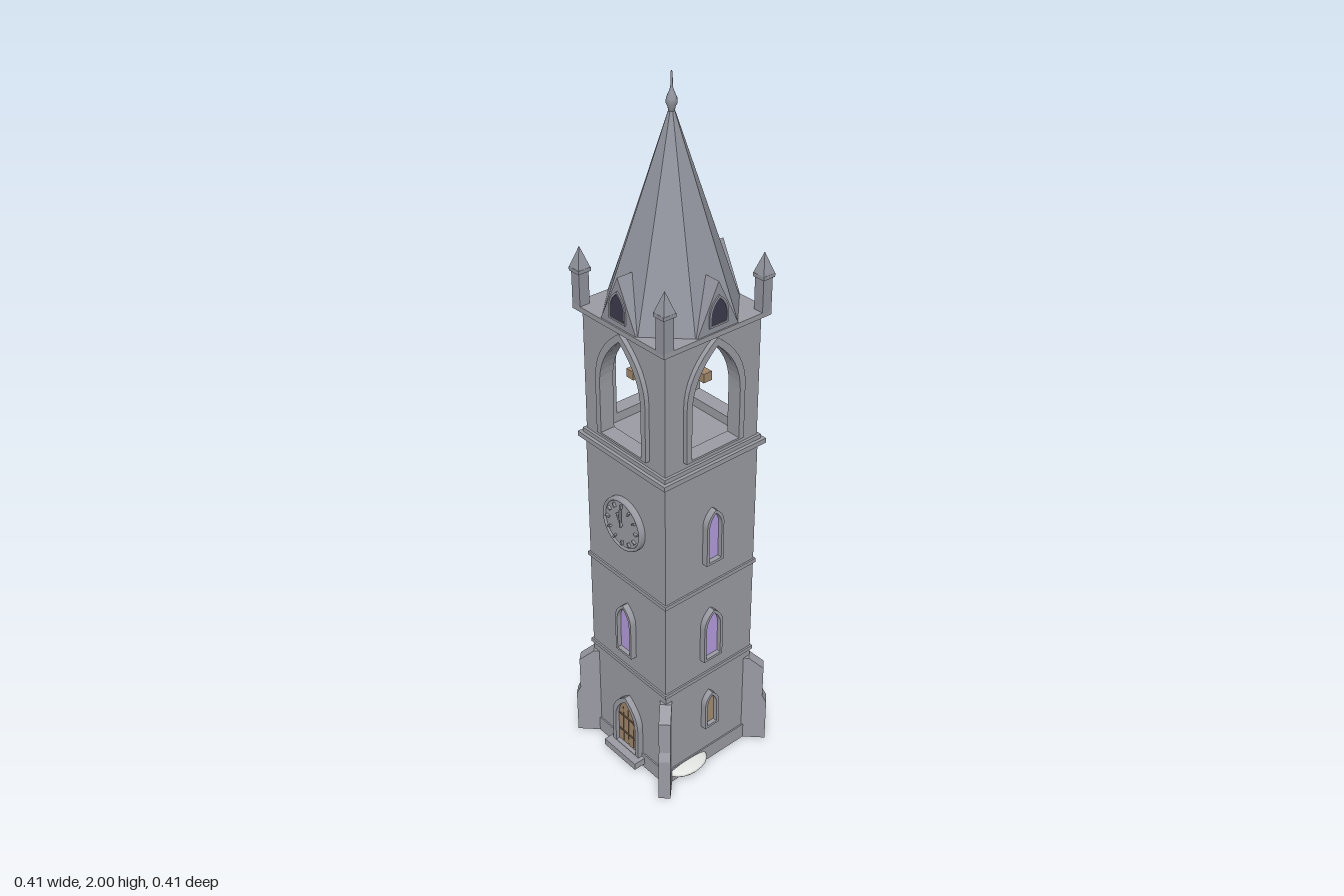
import * as THREE from 'three';

const mat = (name, color) => {
  const m = new THREE.MeshStandardMaterial({ color });
  m.name = name;
  return m;
};

export function createModel() {
  const stone = mat('stone', 0x9a9ba3);
  const slate = mat('slate', 0x92949e);
  const metal = mat('bell metal', 0x84868e);
  const wood = mat('wood', 0xa0866a);
  const darkWood = mat('dark wood', 0x7c6650);
  const violetGlass = mat('violet glass', 0xb39bdc);
  const amberGlass = mat('amber glass', 0xa48c70);
  const shadow = mat('dark opening', 0x3c3a4c);
  const snow = mat('pale mound', 0xe2e4e2);

  const model = new THREE.Group();
  model.name = 'bellTower';

  const add = (parent, name, geo, material, x = 0, y = 0, z = 0) => {
    const mesh = new THREE.Mesh(geo, material);
    mesh.name = name;
    mesh.position.set(x, y, z);
    parent.add(mesh);
    return mesh;
  };
  const box = (parent, name, w, y0, y1, d, material, x = 0, z = 0) =>
    add(parent, name, new THREE.BoxGeometry(w, y1 - y0, d), material, x, (y0 + y1) / 2, z);
  // Faceted cone or prism with flat normals
  const facet = (rTop, rBottom, h, sides) => {
    const g = new THREE.CylinderGeometry(rTop, rBottom, h, sides, 1, false, Math.PI / sides).toNonIndexed();
    g.computeVertexNormals();
    return g;
  };
  // Pointed arch outline
  const arch = (Type, w, y0, y1, rise) => {
    const p = new Type();
    const ys = y1 - rise;
    p.moveTo(-w, y0);
    p.lineTo(w, y0);
    p.lineTo(w, ys);
    p.quadraticCurveTo(w, ys + rise * 0.58, 0, y1);
    p.quadraticCurveTo(-w, ys + rise * 0.58, -w, ys);
    p.lineTo(-w, y0);
    return p;
  };
  const extrude = (shape, depth) =>
    new THREE.ExtrudeGeometry(shape, { depth, bevelEnabled: false, curveSegments: 8 });
  const archFrame = (w, y0, y1, rise, t, sill, depth) => {
    const s = arch(THREE.Shape, w, y0, y1, rise);
    s.holes.push(arch(THREE.Path, w - t, y0 + sill, y1 - t * 1.3, rise - t * 0.6));
    return extrude(s, depth);
  };

  const H = 0.157; // half width of the shaft

  // Shaft and horizontal courses
  box(model, 'shaft', 2 * H, 0, 1.03, 2 * H, stone);
  box(model, 'plinth', 0.322, 0, 0.05, 0.322, stone);
  [0.335, 0.645].forEach((y) => box(model, 'stringCourse', 0.324, y - 0.006, y + 0.006, 0.324, stone));
  box(model, 'belfryCornice', 0.344, 1.026, 1.04, 0.344, stone);
  box(model, 'belfryFloor', 0.325, 1.04, 1.052, 0.325, stone);
  box(model, 'roofSlab', 0.344, 1.398, 1.412, 0.344, stone);

  // One wall side, turned about the tower axis
  const side = (name, angle) => {
    const g = new THREE.Group();
    g.name = name;
    g.rotation.y = angle;
    model.add(g);
    return g;
  };
  const sides = {
    front: side('frontSide', 0),
    left: side('leftSide', Math.PI / 2),
    back: side('backSide', Math.PI),
    right: side('rightSide', -Math.PI / 2),
  };

  const addWindow = (parent, w, y0, y1, glass) => {
    add(parent, 'windowGlass', extrude(arch(THREE.Shape, w - 0.004, y0 + 0.004, y1 - 0.006, w * 1.6), 0.005), glass, 0, 0, H);
    add(parent, 'windowFrame', archFrame(w, y0, y1, w * 1.7, 0.008, 0.008, 0.018), stone, 0, 0, H);
  };
  const addClock = (parent) => {
    const clock = new THREE.Group();
    clock.name = 'clock';
    clock.position.set(0, 0.833, H);
    parent.add(clock);
    const dial = add(clock, 'clockDial', new THREE.CylinderGeometry(0.078, 0.078, 0.012, 40), stone, 0, 0, 0.006);
    dial.rotation.x = Math.PI / 2;
    add(clock, 'clockRim', new THREE.TorusGeometry(0.073, 0.005, 6, 40), stone, 0, 0, 0.012);
    for (let i = 0; i < 12; i++) {
      const a = (i * Math.PI) / 6;
      const mark = add(clock, 'hourMark', new THREE.BoxGeometry(0.005, 0.012, 0.008), stone,
        0.057 * Math.sin(a), 0.057 * Math.cos(a), 0.015);
      mark.rotation.z = -a;
    }
    add(clock, 'minuteHand', new THREE.BoxGeometry(0.005, 0.055, 0.005), stone, 0, 0.022, 0.019);
    const hour = add(clock, 'hourHand', new THREE.BoxGeometry(0.006, 0.038, 0.005), stone, -0.008, 0.014, 0.016);
    hour.rotation.z = 0.5;
  };

  addClock(sides.front);
  addClock(sides.back);
  addWindow(sides.front, 0.033, 0.395, 0.565, violetGlass);
  addWindow(sides.back, 0.033, 0.395, 0.565, amberGlass);
  addWindow(sides.back, 0.025, 0.142, 0.268, amberGlass);
  [sides.left, sides.right].forEach((s) => {
    addWindow(s, 0.029, 0.725, 0.895, violetGlass);
    addWindow(s, 0.033, 0.395, 0.565, violetGlass);
    addWindow(s, 0.025, 0.142, 0.268, amberGlass);
  });

  // Door with planks, portal and step
  add(sides.front, 'door', extrude(arch(THREE.Shape, 0.044, 0.04, 0.212, 0.075), 0.006), wood, 0, 0, H);
  [-0.022, 0, 0.022].forEach((x) => box(sides.front, 'plankGap', 0.002, 0.045, 0.175, 0.002, darkWood, x, H + 0.0065));
  [0.08, 0.14].forEach((y) => box(sides.front, 'doorStrap', 0.08, y, y + 0.005, 0.003, darkWood, 0, H + 0.007));
  add(sides.front, 'doorPortal', archFrame(0.056, 0.035, 0.23, 0.09, 0.013, 0.004, 0.018), stone, 0, 0, H);
  box(sides.front, 'doorStep', 0.136, 0.015, 0.037, 0.044, stone, 0, 0.176);

  // Belfry walls with pointed openings, and roof dormers
  Object.values(sides).forEach((s, i) => {
    const half = i % 2 ? 0.125 : 0.155;
    const wall = new THREE.Shape();
    wall.moveTo(-half, 1.045);
    wall.lineTo(half, 1.045);
    wall.lineTo(half, 1.4);
    wall.lineTo(-half, 1.4);
    wall.closePath();
    wall.holes.push(arch(THREE.Path, 0.079, 1.078, 1.372, 0.15));
    add(s, 'belfryWall', extrude(wall, 0.03), stone, 0, 0, 0.125);
    add(s, 'belfryArch', archFrame(0.096, 1.072, 1.394, 0.165, 0.017, 0.006, 0.013), stone, 0, 0, 0.155);

    const gable = new THREE.Shape();
    gable.moveTo(-0.066, 1.411);
    gable.lineTo(0.066, 1.411);
    gable.lineTo(0, 1.543);
    gable.closePath();
    add(s, 'dormer', extrude(gable, 0.063), slate, 0, 0, 0.105);
    add(s, 'dormerOpening', extrude(arch(THREE.Shape, 0.027, 1.432, 1.5, 0.045), 0.003), shadow, 0, 0, 0.167);
    add(s, 'dormerFrame', archFrame(0.03, 1.428, 1.508, 0.05, 0.005, 0.005, 0.004), slate, 0, 0, 0.168);
  });

  // Bell on crossed beams
  box(model, 'bellBeam', 0.27, 1.258, 1.283, 0.026, wood);
  box(model, 'bellCrossBeam', 0.026, 1.259, 1.282, 0.27, wood);
  const bellProfile = [[0, 1.262], [0.014, 1.258], [0.021, 1.248], [0.024, 1.228], [0.03, 1.208], [0.043, 1.192],
    [0.044, 1.187], [0.038, 1.187], [0.024, 1.21], [0, 1.245]].map(([r, y]) => new THREE.Vector2(r, y)).reverse();
  add(model, 'bell', new THREE.LatheGeometry(bellProfile, 24), metal);
  box(model, 'bellYoke', 0.036, 1.25, 1.29, 0.036, metal);
  add(model, 'bellClapper', new THREE.SphereGeometry(0.009, 12, 8), metal, 0, 1.188, 0);

  // Spire and finial
  add(model, 'spire', facet(0.003, 0.177, 0.51, 8), slate, 0, 1.667, 0);
  const finial = [[0.003, 1.9], [0.008, 1.905], [0.009, 1.915], [0.014, 1.925], [0.013, 1.936], [0.006, 1.952],
    [0.003, 1.962], [0.0025, 1.995], [0, 2]].map(([r, y]) => new THREE.Vector2(r, y));
  add(model, 'finial', new THREE.LatheGeometry(finial, 12), slate);

  // Corner pinnacles and diagonal buttresses
  const profile = new THREE.Shape([[0.12, 0], [0.276, 0], [0.276, 0.14], [0.264, 0.165], [0.264, 0.27], [0.222, 0.305], [0.12, 0.305]]
    .map(([d, y]) => new THREE.Vector2(d, y)));
  for (let i = 0; i < 4; i++) {
    const a = Math.PI / 4 + (i * Math.PI) / 2;
    const x = 0.157 * Math.sign(Math.cos(a));
    const z = 0.157 * Math.sign(Math.sin(a));
    box(model, 'pinnacleShaft', 0.03, 1.402, 1.505, 0.03, slate, x, z);
    box(model, 'pinnacleCollar', 0.038, 1.5, 1.51, 0.038, slate, x, z);
    add(model, 'pinnacleCap', facet(0, 0.026, 0.055, 4), slate, x, 1.5375, z);

    const buttress = new THREE.Group();
    buttress.name = 'buttress';
    buttress.rotation.y = a;
    model.add(buttress);
    add(buttress, 'buttressBody', extrude(profile, 0.033), stone, 0, 0, -0.0165);
  }

  // Pale mounds against the foot of the walls
  [[0.155, 0.08, 0.046, 0.07], [-0.155, 0.085, 0.043, 0.075], [0.022, -0.155, 0.068, 0.048]].forEach(([x, z, rx, rz]) => {
    const mound = add(model, 'mound', new THREE.SphereGeometry(1, 20, 8), snow, x, 0.034, z);
    mound.scale.set(rx, 0.014, rz);
  });

  return model;
}
